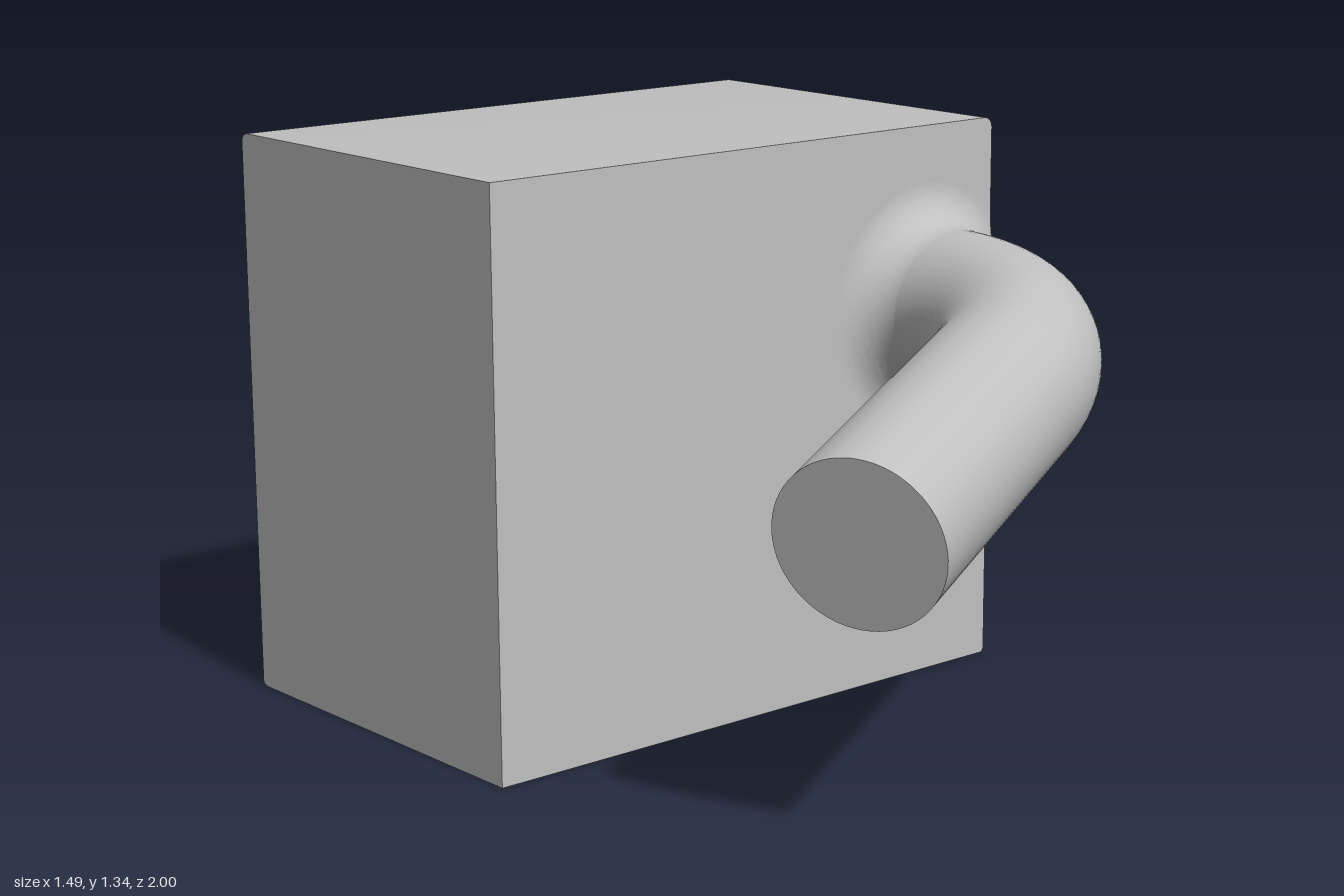
import * as THREE from 'three';
import { toCreasedNormals } from 'three/addons/utils/BufferGeometryUtils.js';

const HALF_W = 0.745, HEIGHT = 1.34, FRONT = -0.04, BACK = -1;
const PIPE_X = 0.532, PIPE_Y = 0.91, PIPE_R = 0.192;

// Block: sharp left and front edges, softened right and back edges
function blockGeometry() {
  const rTop = 0.025, rLow = 0.012, rBack = 0.022, arcSteps = 7;
  const shape = new THREE.Shape();
  shape.moveTo(-HALF_W, 0);
  shape.lineTo(HALF_W - rLow, 0);
  shape.absarc(HALF_W - rLow, rLow, rLow, -Math.PI / 2, 0);
  shape.absarc(HALF_W - rTop, HEIGHT - rTop, rTop, 0, Math.PI / 2);
  shape.lineTo(-HALF_W, HEIGHT);
  shape.closePath();
  const geo = new THREE.ExtrudeGeometry(shape, {
    depth: arcSteps + 1, steps: arcSteps + 1, bevelEnabled: false, curveSegments: 8,
  });
  // Each extrusion step becomes one section of the rounded back edge
  const pos = geo.attributes.position;
  for (let i = 0; i < pos.count; i++) {
    const k = Math.round(pos.getZ(i));
    const a = Math.min(k / arcSteps, 1) * Math.PI / 2;
    const inset = rBack * (1 - Math.sin(a));
    const z = k > arcSteps ? FRONT : BACK + rBack * (1 - Math.cos(a));
    const x = -HALF_W + (pos.getX(i) + HALF_W) * (1 - inset / (2 * HALF_W));
    const y = inset * 0.5 + pos.getY(i) * (1 - 1.5 * inset / HEIGHT);
    pos.setXYZ(i, x, y, z);
  }
  return toCreasedNormals(geo, 0.5);
}

// Pipe centre line: short straight, circular bend, long straight
class BentPath extends THREE.Curve {
  constructor() {
    super();
    this.start = -0.06;
    this.bendZ = 0.035;
    this.radius = 0.525;
    this.angle = Math.acos(0.387);
    this.straight = 0.783;
    this.side = new THREE.Vector2(-1, -0.2186).normalize();
  }
  getPoint(t, target = new THREE.Vector3()) {
    const lead = this.bendZ - this.start, arc = this.radius * this.angle;
    const s = t * (lead + arc + this.straight);
    const a = THREE.MathUtils.clamp((s - lead) / this.radius, 0, this.angle);
    const rest = Math.max(0, s - lead - arc);
    const u = this.radius * (1 - Math.cos(a)) + rest * Math.sin(a);
    const z = this.start + Math.min(s, lead) + this.radius * Math.sin(a) + rest * Math.cos(a);
    return target.set(PIPE_X + this.side.x * u, PIPE_Y + this.side.y * u, z);
  }
}

// Concave flare where the pipe meets the block, cut flush with the right face
function filletGeometry() {
  const r = 0.1, points = [];
  for (let i = 0; i <= 16; i++) {
    const a = (i / 16) * Math.PI / 2;
    points.push(new THREE.Vector2(PIPE_R + r - r * Math.sin(a), r * (1 - Math.cos(a))));
  }
  const geo = new THREE.LatheGeometry(points, 96);
  geo.rotateX(Math.PI / 2);
  geo.translate(PIPE_X, PIPE_Y, FRONT);
  const pos = geo.attributes.position;
  for (let i = 0; i < pos.count; i++) pos.setX(i, Math.min(pos.getX(i), HALF_W));
  return toCreasedNormals(geo, 0.6);
}

export function createModel() {
  const group = new THREE.Group();
  const grey = new THREE.MeshStandardMaterial({ color: 0xc0c0c0 });
  grey.name = 'grey';
  const add = (name, geometry) => {
    const mesh = new THREE.Mesh(geometry, grey);
    mesh.name = name;
    group.add(mesh);
    return mesh;
  };

  add('block', blockGeometry());
  add('pipeFillet', filletGeometry());

  const path = new BentPath();
  add('bentPipe', new THREE.TubeGeometry(path, 96, PIPE_R, 64, false));

  // Flat disc closing the free end
  const cap = add('pipeEnd', new THREE.CircleGeometry(PIPE_R, 64));
  cap.position.copy(path.getPoint(1));
  cap.quaternion.setFromUnitVectors(new THREE.Vector3(0, 0, 1), path.getTangent(1));

  return group;
}
